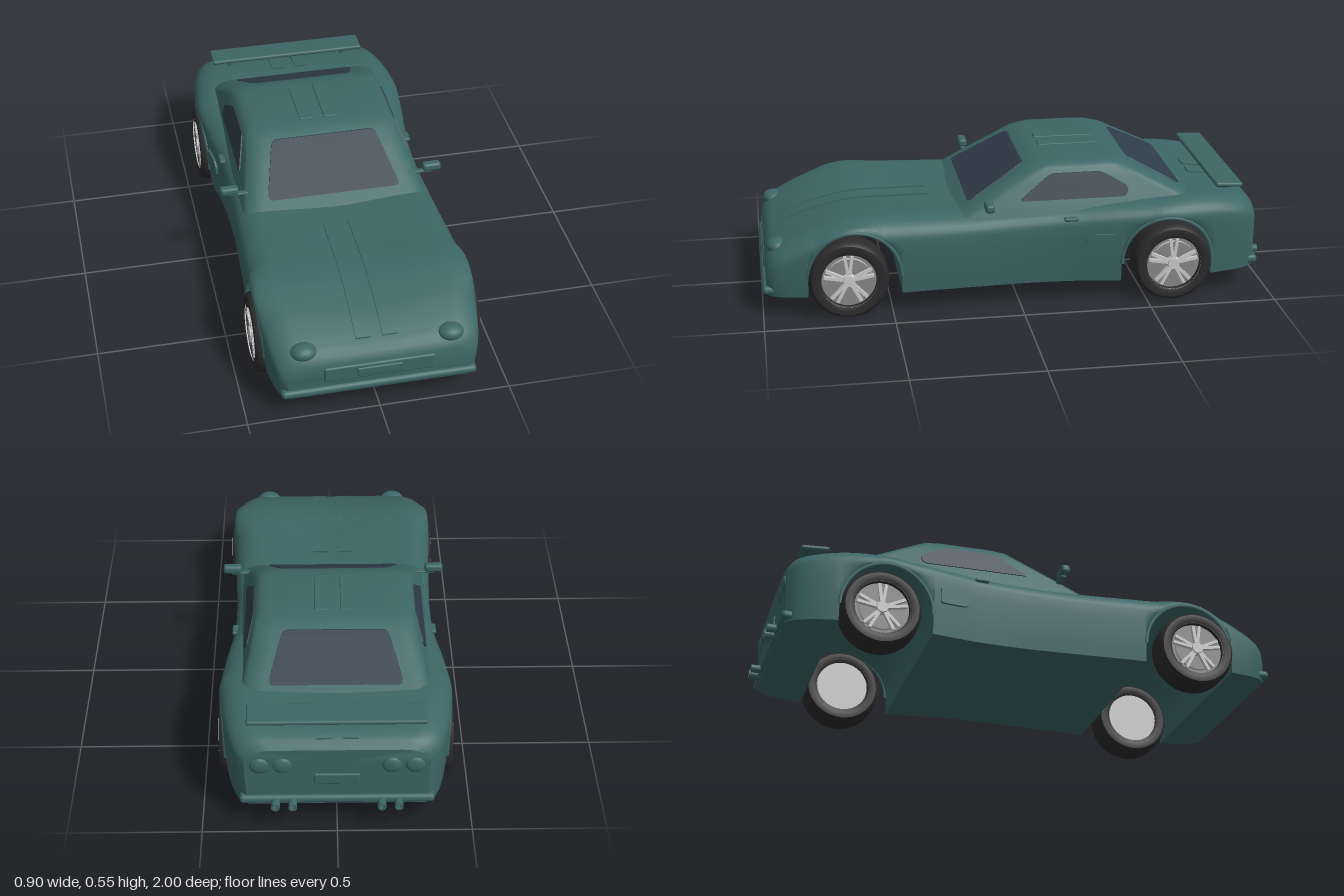
import * as THREE from 'three';
import { toCreasedNormals } from 'three/addons/utils/BufferGeometryUtils.js';
import { RoundedBoxGeometry } from 'three/addons/geometries/RoundedBoxGeometry.js';

const paint = new THREE.MeshStandardMaterial({ color: 0x3d6666 });
const glass = new THREE.MeshStandardMaterial({ color: 0x2f3d4b });
const rubber = new THREE.MeshStandardMaterial({ color: 0x2b2b2b });
const metal = new THREE.MeshStandardMaterial({ color: 0xcccccc });
const darkMetal = new THREE.MeshStandardMaterial({ color: 0x888888 });

// Body stations: z, half width, shoulder height, fender height, centre height
const BODY = [
  [-0.95, 0.34, 0.29, 0.345, 0.345], [-0.925, 0.37, 0.31, 0.37, 0.37], [-0.85, 0.402, 0.33, 0.392, 0.388],
  [-0.7, 0.43, 0.34, 0.41, 0.405], [-0.58, 0.438, 0.34, 0.406, 0.4], [-0.4, 0.423, 0.33, 0.395, 0.39],
  [-0.2, 0.397, 0.315, 0.385, 0.385], [0, 0.392, 0.305, 0.38, 0.38], [0.2, 0.4, 0.3, 0.374, 0.367],
  [0.45, 0.412, 0.3, 0.378, 0.364], [0.65, 0.418, 0.31, 0.376, 0.36], [0.8, 0.41, 0.275, 0.337, 0.326],
  [0.87, 0.4, 0.245, 0.308, 0.302], [0.93, 0.388, 0.215, 0.278, 0.274], [0.97, 0.368, 0.185, 0.25, 0.25],
  [0.985, 0.345, 0.16, 0.222, 0.222]];
// Cabin levels: y, windscreen z, rear screen z, half width
const CABIN = [[0.34, 0.28, -0.81, 0.372], [0.395, 0.19, -0.71, 0.354], [0.53, -0.04, -0.45, 0.304],
  [0.545, -0.08, -0.41, 0.283], [0.551, -0.13, -0.36, 0.25]];
const table = (rows, Type) => {
  const f = new Type(rows.map(r => r[0]), rows.flatMap(r => r.slice(1)), rows[0].length - 1);
  return v => [...f.evaluate(v)];
};
const bodyAt = table(BODY, THREE.CubicInterpolant);
const cabinAt = table(CABIN, THREE.LinearInterpolant);

const ARCH_R = 0.18, ARCH_Y = 0.16, ARCHES = [0.645, -0.578];
const CORNER = 0.1;
function bottomAt(z) {
  for (const a of ARCHES) {
    const d = Math.abs(z - a);
    if (d <= ARCH_R) return ARCH_Y + Math.sqrt(ARCH_R * ARCH_R - d * d);
  }
  return z < -0.7 ? 0.095 : 0.085;
}
function topAt(x, z) {
  const [w, , t, c] = bodyAt(z);
  return c + (t - c) * THREE.MathUtils.smoothstep(Math.abs(x), 0, w - CORNER);
}

// Skin closed rings; each ring runs counter-clockwise seen from the first end
function loft(rings, crease, capEnd) {
  const n = rings[0].length, pos = rings.flat(), idx = [];
  for (let i = 0; i < rings.length - 1; i++) {
    for (let j = 0; j < n; j++) {
      const a = i * n + j, b = i * n + (j + 1) % n;
      idx.push(a, a + n, b, b, a + n, b + n);
    }
  }
  const cap = (ring, base, flip) => {
    const m = [0, 1, 2].map(k => ring.reduce((s, p) => s + p[k], 0) / n);
    const c = pos.push(m) - 1;
    for (let j = 0; j < n; j++) {
      const a = base + j, b = base + (j + 1) % n;
      idx.push(c, flip ? b : a, flip ? a : b);
    }
  };
  cap(rings[0], 0, false);
  if (capEnd) cap(rings.at(-1), (rings.length - 1) * n, true);
  const g = new THREE.BufferGeometry();
  g.setAttribute('position', new THREE.Float32BufferAttribute(pos.flat(), 3));
  g.setIndex(idx);
  return toCreasedNormals(g, crease);
}

function bodyRing(z) {
  const [w, s0, t] = bodyAt(z), b = bottomAt(z);
  const s = Math.max(s0, b + 0.008), half = [];
  for (let i = 0; i < 5; i++) half.push([w - 0.012 * (1 - i / 5) ** 2, b + (s - b) * i / 5]);
  for (let i = 0; i < 8; i++) {
    const a = i / 8 * Math.PI / 2;
    half.push([w - CORNER * (1 - Math.cos(a)), s + (t - s) * Math.sin(a)]);
  }
  for (let i = 0; i < 6; i++) {
    const x = (w - CORNER) * (1 - i / 6);
    half.push([x, topAt(x, z)]);
  }
  const left = half.map(([x, y]) => [-x, y]).reverse();
  return [...half, [0, topAt(0, z)], ...left].map(([x, y]) => [x, y, z]);
}

function cabinRing(y) {
  const [f, r, w] = cabinAt(y), rad = 0.07, ring = [];
  const corners = [[w, r], [-w, r], [-w, f], [w, f]];
  corners.forEach(([x, z], k) => {
    const cx = x - Math.sign(x) * rad, cz = z + (k < 2 ? rad : -rad);
    for (let i = 0; i <= 6; i++) {
      const a = (k + i / 6) * Math.PI / 2;
      ring.push([cx + rad * Math.cos(a), y, cz - rad * Math.sin(a)]);
    }
  });
  return ring;
}

// Thin plate with rounded corners, laid on a surface by the rule map(u, y, depth)
function plate(pts, r, depth, map) {
  const v = pts.map(p => new THREE.Vector2(...p)), shape = new THREE.Shape();
  v.forEach((p, i) => {
    const prev = v[(i + v.length - 1) % v.length], next = v[(i + 1) % v.length];
    const a = p.clone().add(prev.clone().sub(p).setLength(r)), b = p.clone().add(next.clone().sub(p).setLength(r));
    if (i) shape.lineTo(a.x, a.y); else shape.moveTo(a.x, a.y);
    shape.quadraticCurveTo(p.x, p.y, b.x, b.y);
  });
  const g = new THREE.ExtrudeGeometry(shape, { depth, bevelEnabled: false, curveSegments: 5 });
  return bend(g, map);
}
function bend(g, map) {
  const p = g.attributes.position;
  for (let i = 0; i < p.count; i++) p.setXYZ(i, ...map(p.getX(i), p.getY(i), p.getZ(i)));
  g.computeVertexNormals();
  return g;
}
const rect = (u, y0, y1) => [[-u, y0], [u, y0], [u, y1], [-u, y1]];

function makeWheel(width) {
  const g = new THREE.Group(), h = width / 2;
  const add = (name, geo, mat) => {
    const m = new THREE.Mesh(geo, mat);
    m.name = name;
    g.add(m);
  };
  const turn = (pts, n) => new THREE.LatheGeometry(pts.map(p => new THREE.Vector2(...p)), n).rotateZ(-Math.PI / 2);
  add('tyre', toCreasedNormals(turn([[0.106, -h + 0.006], [0.12, -h], [0.142, -h + 0.002], [0.152, -h + 0.013], [0.155, -h + 0.028],
    [0.155, h - 0.028], [0.152, h - 0.013], [0.142, h - 0.002], [0.12, h], [0.106, h - 0.006], [0.106, -h + 0.006]], 40), 0.7), rubber);
  add('rim', turn([[0.09, h - 0.03], [0.09, h - 0.006], [0.098, h + 0.002], [0.109, h - 0.002], [0.109, h - 0.012]], 40), metal);
  add('rimBack', new THREE.CylinderGeometry(0.106, 0.106, width - 0.04, 32).rotateZ(Math.PI / 2), darkMetal);
  add('innerDisc', new THREE.CylinderGeometry(0.104, 0.104, 0.02, 32).rotateZ(Math.PI / 2).translate(-h + 0.015, 0, 0), metal);
  add('hub', new THREE.CylinderGeometry(0.022, 0.028, 0.026, 20).rotateZ(-Math.PI / 2).translate(h - 0.012, 0, 0), metal);
  for (let i = 0; i < 5; i++) for (const s of [-1, 1]) {
    const spoke = new THREE.BoxGeometry(0.018, 0.085, 0.012).translate(h - 0.014, 0.056, 0);
    add('spoke', spoke.rotateX(s * 0.14).rotateX(i * Math.PI * 0.4), metal);
  }
  return g;
}

export function createModel() {
  const car = new THREE.Group();
  const add = (name, geo, mat = paint, x = 0, y = 0, z = 0) => {
    const m = new THREE.Mesh(geo, mat);
    m.name = name;
    m.position.set(x, y, z);
    car.add(m);
    return m;
  };
  const pair = (name, geo, mat = paint, x = 0, y = 0, z = 0) => {
    add(name, geo, mat, x, y, z);
    add(name, geo, mat, -x, y, z).scale.x = -1;
  };
  const box = (w, h, d, r) => new RoundedBoxGeometry(w, h, d, 3, r);

  // Main shell, with extra stations for the wheel arches
  const zs = BODY.map(r => r[0]);
  for (let z = -0.94; z < 0.98; z += 0.03) zs.push(z);
  for (const a of ARCHES) {
    for (let i = 0; i <= 20; i++) zs.push(a + ARCH_R * Math.cos(i / 20 * Math.PI) * 0.99999);
    zs.push(a - ARCH_R - 0.001, a + ARCH_R + 0.001);
  }
  zs.sort((a, b) => b - a);
  add('body', loft(zs.map(bodyRing), 0.6, true));
  add('cabin', loft([0.551, 0.549, 0.545, 0.538, 0.53, 0.48, 0.43, 0.395, 0.34].map(cabinRing), 0.7, false));

  // Windows
  add('windscreen', plate([[-0.268, 0.397], [0.268, 0.397], [0.21, 0.528], [-0.21, 0.528]], 0.02, 0.005,
    (u, y, d) => [u, y, cabinAt(y)[0] + d]), glass);
  add('rearWindow', plate([[-0.255, 0.422], [0.255, 0.422], [0.2, 0.528], [-0.2, 0.528]], 0.02, 0.005,
    (u, y, d) => [-u, y, cabinAt(y)[1] - d]), glass);
  pair('sideWindow', plate([[0.0, 0.415], [0.425, 0.415], [0.438, 0.45], [0.33, 0.511], [0.13, 0.511]], 0.02, 0.005,
    (u, y, d) => [cabinAt(y)[2] + d, y, -u]), glass);

  // Raised stripes on bonnet, roof and tail
  for (const [name, z0, z1] of [['bonnetStripe', 0.33, 0.925], ['tailStripe', -0.92, -0.74]]) {
    const g = new THREE.BoxGeometry(0.058, 0.012, z1 - z0, 2, 1, 24).translate(0.05, 0, (z0 + z1) / 2);
    pair(name, bend(g, (x, y, z) => [x, topAt(x, z) + y, z]));
  }
  pair('roofStripe', box(0.058, 0.012, 0.24, 0.004), paint, 0.05, 0.549, -0.24);

  // Nose: grille, plate, lip and headlights
  add('grille', box(0.42, 0.066, 0.02, 0.009), paint, 0, 0.177, 0.981);
  add('frontPlate', box(0.172, 0.035, 0.016, 0.006), paint, 0, 0.178, 0.988);
  add('frontLip', box(0.74, 0.032, 0.11, 0.015), paint, 0, 0.109, 0.945);
  pair('headlight', new THREE.SphereGeometry(1, 28, 18).scale(0.05, 0.031, 0.042), paint, 0.277, 0.263, 0.935);

  // Tail: lights, plate, bumper and exhausts
  for (const x of [0.2, 0.285]) pair('tailLight', new THREE.SphereGeometry(1, 24, 14).scale(0.036, 0.034, 0.014), paint, x, 0.275, -0.95);
  add('rearPlate', box(0.17, 0.045, 0.016, 0.006), paint, 0, 0.215, -0.95);
  add('rearBumper', box(0.72, 0.034, 0.07, 0.015), paint, 0, 0.12, -0.93);
  const pipe = new THREE.LatheGeometry([[0.009, 0], [0.009, 0.07], [0.016, 0.07], [0.016, 0]].map(p => new THREE.Vector2(...p)), 20);
  const pipeGeo = toCreasedNormals(pipe.rotateX(-Math.PI / 2), 0.6);
  const pipeMat = paint.clone();
  pipeMat.side = THREE.DoubleSide;
  for (const x of [0.164, 0.227]) pair('exhaust', pipeGeo, pipeMat, x, 0.115, -0.93);

  // Rear wing on two struts
  add('wing', box(0.66, 0.018, 0.11, 0.008), paint, 0, 0.43, -0.845).rotation.x = -0.05;
  pair('wingStrut', box(0.018, 0.06, 0.035, 0.006), paint, 0.25, 0.402, -0.835);

  // Door mirrors, handles and side vents
  pair('mirror', box(0.074, 0.034, 0.036, 0.012), paint, 0.411, 0.423, 0.125);
  pair('mirrorArm', box(0.08, 0.012, 0.022, 0.005), paint, 0.375, 0.404, 0.125);
  pair('doorHandle', box(0.03, 0.014, 0.056, 0.006), paint, 0.388, 0.346, -0.2);
  pair('sideVent', plate([[0.27, 0.215], [0.37, 0.215], [0.37, 0.285], [0.285, 0.285], [0.255, 0.265], [0.255, 0.225]], 0.01, 0.016,
    (u, y, d) => [bodyAt(-u)[0] + d - 0.008, y, -u]));

  // Arch lips and wheels
  for (const a of ARCHES) {
    const pts = [];
    for (let i = 0; i <= 16; i++) {
      const t = i / 16 * Math.PI, z = a + ARCH_R * Math.cos(t);
      pts.push(new THREE.Vector3(bodyAt(z)[0] - 0.006, ARCH_Y + (ARCH_R + 0.004) * Math.sin(t), z));
    }
    pair('archLip', new THREE.TubeGeometry(new THREE.CatmullRomCurve3(pts), 40, 0.008, 8));
  }
  for (const [name, x, z] of [['frontWheel', 0.372, 0.67], ['rearWheel', 0.384, -0.6]]) for (const s of [1, -1]) {
    const wheel = makeWheel(0.12);
    wheel.name = name;
    wheel.position.set(s * x, 0.157, z);
    wheel.scale.x = s;
    car.add(wheel);
  }
  return car;
}
